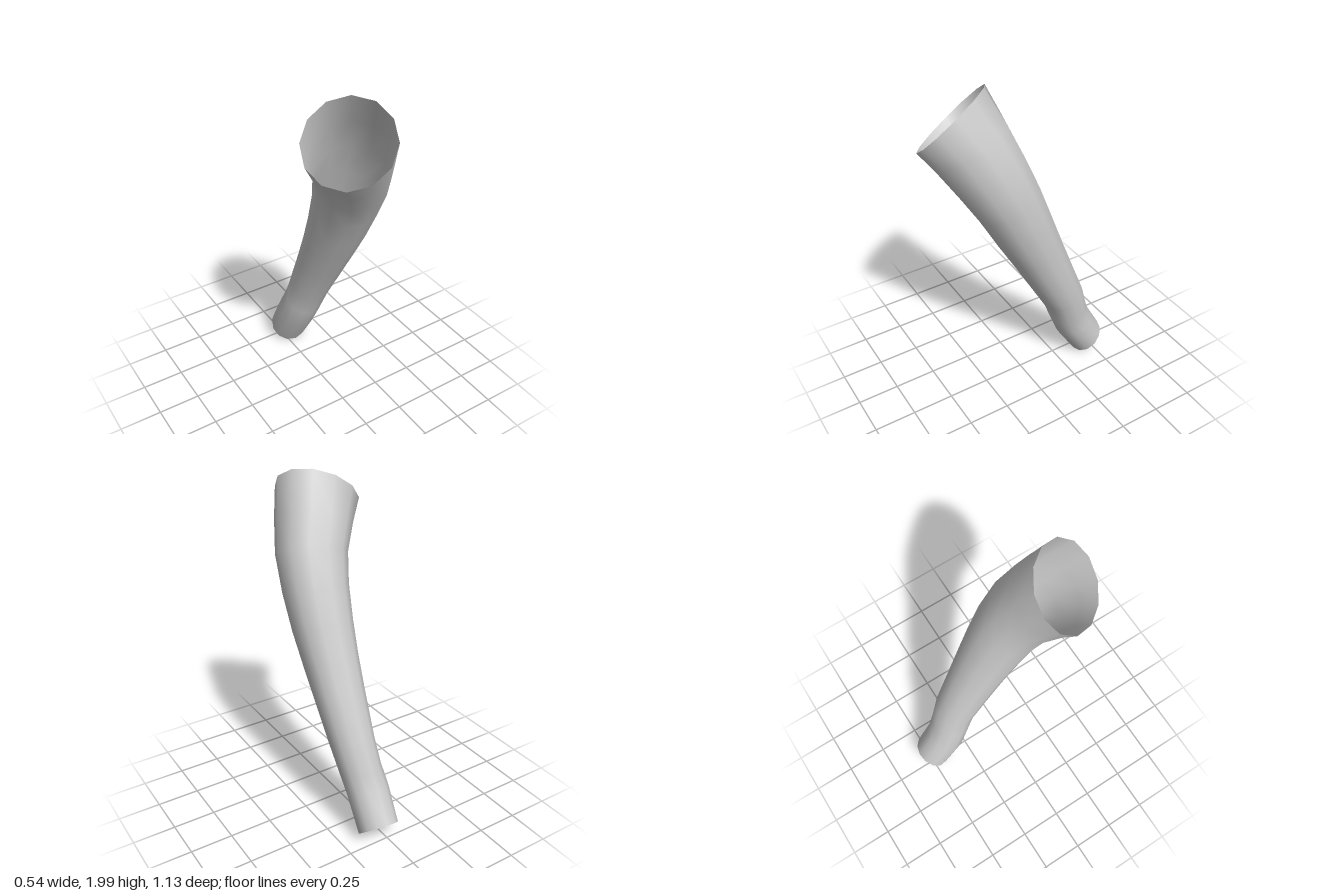
import * as THREE from 'three';

const SIDES = 12;

// Centre line from the narrow lower end to the wide upper end: x, y, z, radius
const STATIONS = [
  [0.045, 0.08, -0.475, 0.118],
  [0.043, 0.275, -0.36, 0.122],
  [0.06, 0.4, -0.305, 0.122],
  [0.078, 0.552, -0.25, 0.128],
  [0.085, 0.81, -0.126, 0.145],
  [0.088, 0.99, -0.04, 0.158],
  [0.087, 1.17, 0.045, 0.173],
  [0.078, 1.36, 0.13, 0.187],
  [0.05, 1.535, 0.215, 0.203],
  [-0.01, 1.69, 0.29, 0.22],
  [-0.075, 1.828, 0.358, 0.24],
];

// Tilt of the two cut ends
const LOWER_CUT = new THREE.Vector3(-0.08, 0.76, 0.65).normalize();
const UPPER_CUT = new THREE.Vector3(-0.52, 0.7, 0.485).normalize();

// Skin a smooth tube over round cross-sections set square to the centre line
function skinTube() {
  const centres = STATIONS.map(([x, y, z]) => new THREE.Vector3(x, y, z));
  const last = centres.length - 1;
  const positions = [];
  const indices = [];

  centres.forEach((centre, i) => {
    const axis = i === 0 ? LOWER_CUT
      : i === last ? UPPER_CUT
        : centres[i + 1].clone().sub(centres[i - 1]).normalize();
    const u = new THREE.Vector3(1, 0, 0).projectOnPlane(axis).normalize();
    const v = new THREE.Vector3().crossVectors(axis, u);
    const radius = STATIONS[i][3];
    for (let j = 0; j < SIDES; j++) {
      const a = (j / SIDES) * Math.PI * 2;
      const p = centre.clone()
        .addScaledVector(u, radius * Math.cos(a))
        .addScaledVector(v, radius * Math.sin(a));
      positions.push(p.x, p.y, p.z);
      if (i < last) {
        const k = (j + 1) % SIDES;
        const lo = i * SIDES;
        const hi = lo + SIDES;
        indices.push(lo + j, lo + k, hi + j, lo + k, hi + k, hi + j);
      }
    }
  });

  const geometry = new THREE.BufferGeometry();
  geometry.setAttribute('position', new THREE.Float32BufferAttribute(positions, 3));
  geometry.setIndex(indices);
  geometry.computeVertexNormals();
  return geometry;
}

export function createModel() {
  const group = new THREE.Group();
  group.name = 'curvedSleeve';

  // Thin hollow sleeve, open at both ends
  const sleeve = new THREE.Mesh(
    skinTube(),
    new THREE.MeshStandardMaterial({ color: 0xcccccc, side: THREE.DoubleSide }),
  );
  sleeve.name = 'sleeve';
  group.add(sleeve);
  return group;
}
